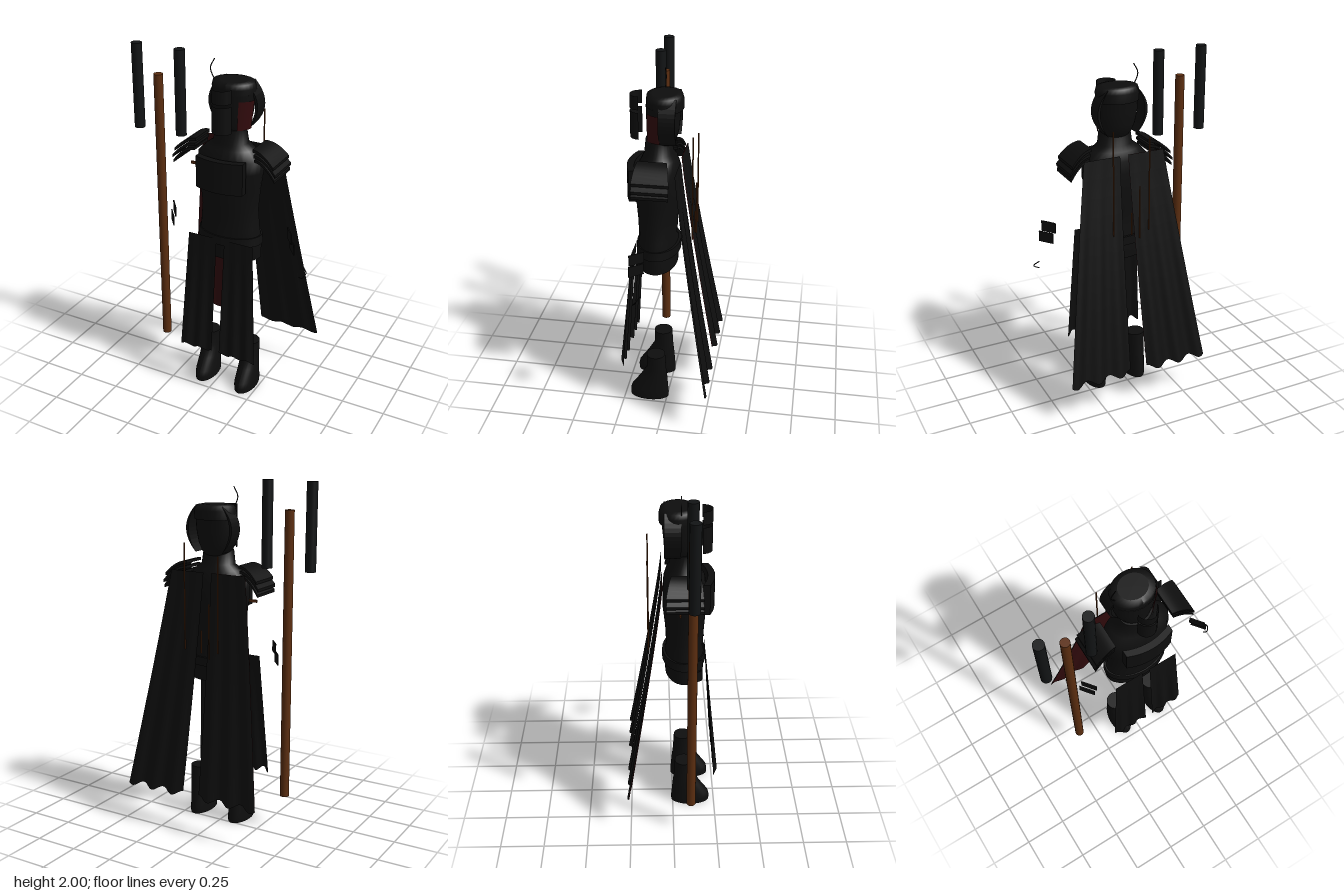
import * as THREE from 'three';

const CX = 0.047; // body centre line
const mat = (name, color, side = THREE.FrontSide) => {
  const m = new THREE.MeshStandardMaterial({ color, side });
  m.name = name;
  return m;
};

export function createModel() {
  const root = new THREE.Group();
  const black = mat('black', 0x0e0e0e, THREE.DoubleSide);
  const steel = mat('dark steel', 0x121415);
  const brown = mat('brown wood', 0x5c2e10);
  const red = mat('dark red', 0x330b0d, THREE.DoubleSide);

  const add = (name, geo, m = black, x = 0, y = 0, z = 0) => {
    const mesh = new THREE.Mesh(geo, m);
    mesh.name = name;
    mesh.position.set(x, y, z);
    root.add(mesh);
    return mesh;
  };
  const bend = (geo, rule) => {
    const p = geo.attributes.position;
    for (let i = 0; i < p.count; i++) p.setXYZ(i, ...rule(p.getX(i), p.getY(i), p.getZ(i)));
    geo.computeVertexNormals();
    return geo;
  };
  // Elliptical sections, top to bottom: [y, rx, zCentre, rz]
  const loft = (rows, xc = CX, sides = 28) =>
    bend(new THREE.CylinderGeometry(1, 1, 1, sides, rows.length - 1), (x, y, z) => {
      const [h, rx, zc, rz] = rows[Math.round((0.5 - y) * (rows.length - 1))];
      return [xc + x * rx, h, zc + z * rz];
    });
  const rod = (name, r, x, y0, y1, z, m) =>
    add(name, new THREE.CylinderGeometry(r, r, y1 - y0, 16), m, x, (y0 + y1) / 2, z);
  const wire = (name, pts, r = 0.003) =>
    add(name, new THREE.TubeGeometry(new THREE.CatmullRomCurve3(
      pts.map(p => new THREE.Vector3(...p))), 16, r, 5), black);

  // Torso with collar, belt
  add('torso', loft([
    [1.61, 0.09, 0.065, 0.068], [1.53, 0.1, 0.062, 0.08], [1.5, 0.14, 0.06, 0.095],
    [1.45, 0.19, 0.066, 0.115], [1.38, 0.192, 0.067, 0.12], [1.27, 0.175, 0.068, 0.122],
    [1.15, 0.165, 0.07, 0.11], [1.04, 0.175, 0.07, 0.105], [0.97, 0.185, 0.068, 0.115],
    [0.86, 0.185, 0.068, 0.108]]));
  add('belt', loft([[1.0, 0.188, 0.065, 0.122], [0.95, 0.194, 0.066, 0.124]]));
  add('breastplate', bend(new THREE.BoxGeometry(0.28, 0.18, 0.04, 12, 1, 1),
    (x, y, z) => [x + CX, y + 1.375, z + 0.215 - 1.6 * x * x]));

  // Head and helmet crown
  add('head', loft([
    [1.8, 0.12, 0.035, 0.095], [1.72, 0.118, 0.038, 0.09], [1.65, 0.105, 0.04, 0.085],
    [1.6, 0.085, 0.045, 0.075], [1.57, 0.06, 0.05, 0.05]]));
  add('crown', loft([
    [1.862, 0.08, 0.03, 0.07], [1.855, 0.115, 0.03, 0.095], [1.83, 0.123, 0.028, 0.1],
    [1.78, 0.122, 0.028, 0.1]]));
  add('redCheek', bend(new THREE.CylinderGeometry(1, 1, 1, 10, 1, true, 0.6, 0.95),
    (x, y, z) => [CX + x * (0.117 + y * 0.018), 1.69 + y * 0.16, 0.038 + z * 0.095]), red);
  // Two curved plates standing off the face
  [[1.61, 1.76], [1.775, 1.85]].forEach(([a, b]) =>
    add('facePlate', new THREE.CylinderGeometry(0.055, 0.055, b - a, 14, 1, true,
      -Math.PI / 2, Math.PI), black, CX, (a + b) / 2, 0.163));

  for (const s of [-1, 1]) {
    // Crescent horn beside the head
    const horn = new THREE.Shape();
    horn.moveTo(CX + s * 0.085, 1.855);
    horn.quadraticCurveTo(CX + s * 0.208, 1.73, CX + s * 0.085, 1.6);
    horn.quadraticCurveTo(CX + s * 0.178, 1.73, CX + s * 0.085, 1.855);
    add('horn', new THREE.ExtrudeGeometry(horn, { depth: 0.09, bevelEnabled: false }),
      black, 0, 0, -0.045);

    // Layered shoulder plates
    [[0.17, 1.53, 0.295, 0.075], [0.175, 1.5, 0.308, 0.085], [0.18, 1.475, 0.304, 0.09]]
      .forEach(([x0, y0, x1, drop]) =>
        add('shoulderPlate', bend(new THREE.BoxGeometry(1, 0.016, 1, 8, 1, 1), (x, y, z) => {
          const t = 0.5 + s * x;
          return [CX + s * (x0 + (x1 - x0) * t), y0 + y - drop * t * t,
            0.07 - 0.008 * t + z * (0.155 + 0.045 * t)];
        })));

    // Boot
    add('boot', loft([
      [0.295, 0.055, 0.067, 0.054], [0.2, 0.052, 0.065, 0.057], [0.13, 0.056, 0.082, 0.082],
      [0.06, 0.06, 0.104, 0.11], [0.03, 0.062, 0.106, 0.115], [0, 0.06, 0.106, 0.114]],
      CX + s * 0.131));

    // Slanted hand plates
    [[1.07, s < 0 ? -0.283 : 0.43], [1.01, s < 0 ? -0.298 : 0.447]].forEach(([y, x]) => {
      add('handPlate', new THREE.BoxGeometry(0.09, 0.062, 0.006), black, x, y, 0.12)
        .rotation.y = -Math.atan2(0.07, 0.055);
    });
  }

  // Hanging cloth; offsets are measured from the centre line
  const cloth = (s, c) => bend(new THREE.PlaneGeometry(1, 1, 36, 12), (x, y) => {
    const k = 0.5 - y, t = 0.5 + s * x;
    const top = c.topIn + (c.topOut - c.topIn) * t, low = c.lowIn + (c.lowOut - c.lowIn) * t;
    const wave = Math.cos(t * Math.PI * 2 * c.waves);
    return [CX + s * (top + (low - top) * k),
      c.y0 + (c.y1 - c.y0) * k + wave * 0.014 * k,
      c.z0 + (c.z1 - c.z0) * Math.pow(k, c.curve) + wave * 0.011 * k];
  });
  const cape = { topIn: 0.025, topOut: 0.238, lowIn: 0.052, lowOut: 0.423,
    y0: 1.49, y1: 0.235, z0: -0.06, z1: -0.257, waves: 2.7, curve: 1.12 };
  const flap = { topIn: 0.024, topOut: 0.198, lowIn: 0.024, lowOut: 0.24,
    y0: 0.985, y1: 0.268, z0: 0.19, z1: 0.25, waves: 2.5, curve: 1 };
  for (const s of [-1, 1]) {
    add('cape', cloth(s, cape));
    add('frontFlap', cloth(s, flap));
  }
  // Red lining on one cape half
  add('capeLining', cloth(-1, cape), red, 0, 0, 0.004);

  // Staff and floating bars
  rod('staff', 0.026, -0.375, 0.2, 1.845, 0.1, brown);
  rod('bar', 0.03, -0.505, 1.52, 2, 0.1, steel);
  rod('bar', 0.03, -0.24, 1.52, 2, 0.1, steel);

  // Thin rods behind the back
  [[0.148, 1.06, 1.66], [0.04, 1.05, 1.18], [-0.01, 1.02, 1.33], [-0.067, 1.06, 1.6]]
    .forEach(([x, a, b]) => rod('backRod', 0.004, x, a, b, -0.136, brown));

  // Fine wires
  wire('plume', [[-0.06, 1.96, 0.045], [-0.085, 1.905, 0.045], [-0.052, 1.83, 0.045]]);
  wire('hook', [[0.505, 0.885, 0.09], [0.53, 0.86, 0.11], [0.515, 0.835, 0.13], [0.495, 0.83, 0.12]]);
  // Shoulder clasp
  add('clasp', new THREE.BoxGeometry(0.05, 0.015, 0.01), brown, -0.19, 1.34, 0.04);

  return root;
}
